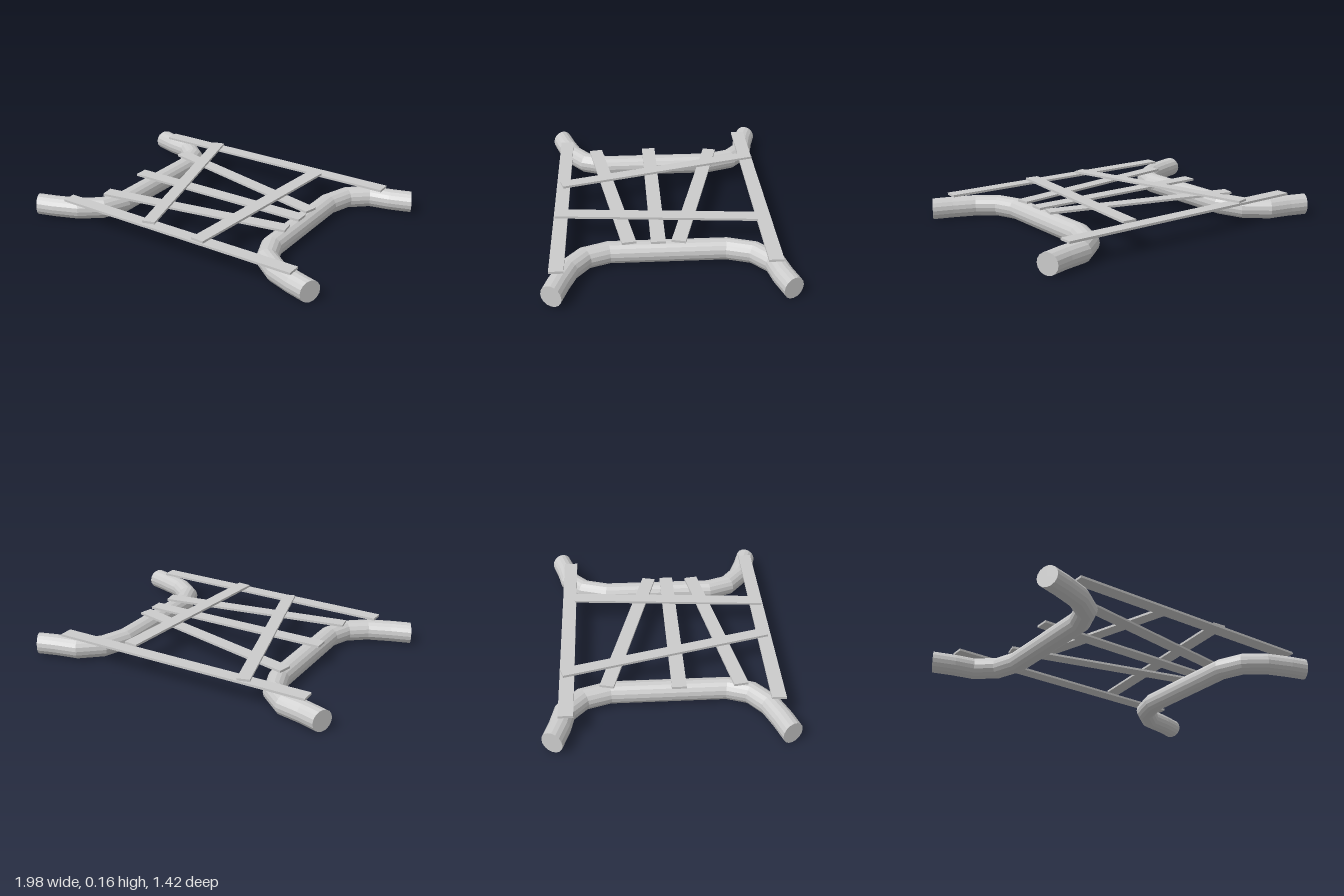
import * as THREE from 'three';

const LOG_RADIUS = 0.065;
const material = new THREE.MeshStandardMaterial({ color: 0xcccccc, flatShading: true });

// Centre line of one bent log, back to front, as [x, z]
const LOG_PATH = [
  [0.963, -0.657], [0.84, -0.62], [0.71, -0.594], [0.595, -0.495], [0.543, -0.34],
  [0.543, 0.34], [0.595, 0.475], [0.71, 0.565], [0.85, 0.618], [0.963, 0.652],
];

// Bend a capped cylinder so that each of its rings sits on a path point
function bentLog(name, side) {
  const pts = LOG_PATH.map(([x, z]) => new THREE.Vector3(x * side, LOG_RADIUS, z));
  const n = pts.length - 1;
  const dirs = pts.slice(1).map((p, i) => p.clone().sub(pts[i]).normalize());
  const tangents = pts.map((p, i) => {
    if (i === 0) return new THREE.Vector3(-0.89 * side, 0, 0.45);
    if (i === n) return new THREE.Vector3(0.89 * side, 0, 0.45);
    return dirs[i - 1].clone().add(dirs[i]).normalize();
  });
  const geo = new THREE.CylinderGeometry(LOG_RADIUS, LOG_RADIUS, 1, 16, n);
  const pos = geo.attributes.position;
  for (let i = 0; i < pos.count; i++) {
    const ring = Math.round((0.5 - pos.getY(i)) * n);
    const p = pts[ring], t = tangents[ring], across = pos.getX(i);
    pos.setXYZ(i, p.x + t.z * across, p.y + pos.getZ(i), p.z - t.x * across);
  }
  geo.computeVertexNormals();
  const mesh = new THREE.Mesh(geo, material);
  mesh.name = name;
  return mesh;
}

// Flat board between two points given as x, z
function board(name, x1, z1, x2, z2, width, y) {
  const length = Math.hypot(x2 - x1, z2 - z1);
  const mesh = new THREE.Mesh(new THREE.BoxGeometry(length, 0.014, width), material);
  mesh.position.set((x1 + x2) / 2, y, (z1 + z2) / 2);
  mesh.rotation.y = -Math.atan2(z2 - z1, x2 - x1);
  mesh.name = name;
  return mesh;
}

export function createModel() {
  const group = new THREE.Group();
  group.name = 'raft';

  // Two bent logs, one on each side
  group.add(bentLog('leftLog', 1), bentLog('rightLog', -1));

  // Boards lying across the logs
  const lower = 0.141, upper = 0.156;
  group.add(
    board('backRail', -0.843, -0.583, 0.805, -0.585, 0.085, lower),
    board('frontRail', -0.75, 0.607, 0.85, 0.626, 0.083, lower),
    board('backSlat', -0.588, -0.356, 0.575, -0.06, 0.083, lower),
    board('middleSlat', -0.623, 0.056, 0.58, 0.056, 0.085, lower),
    board('frontSlat', -0.612, 0.412, 0.575, 0.222, 0.083, lower),
  );

  // Boards laid on top, running front to back
  group.add(
    board('rightBrace', -0.463, -0.615, -0.118, 0.625, 0.077, upper),
    board('leftBrace', 0.345, -0.547, 0.243, 0.652, 0.085, upper),
  );
  return group;
}
